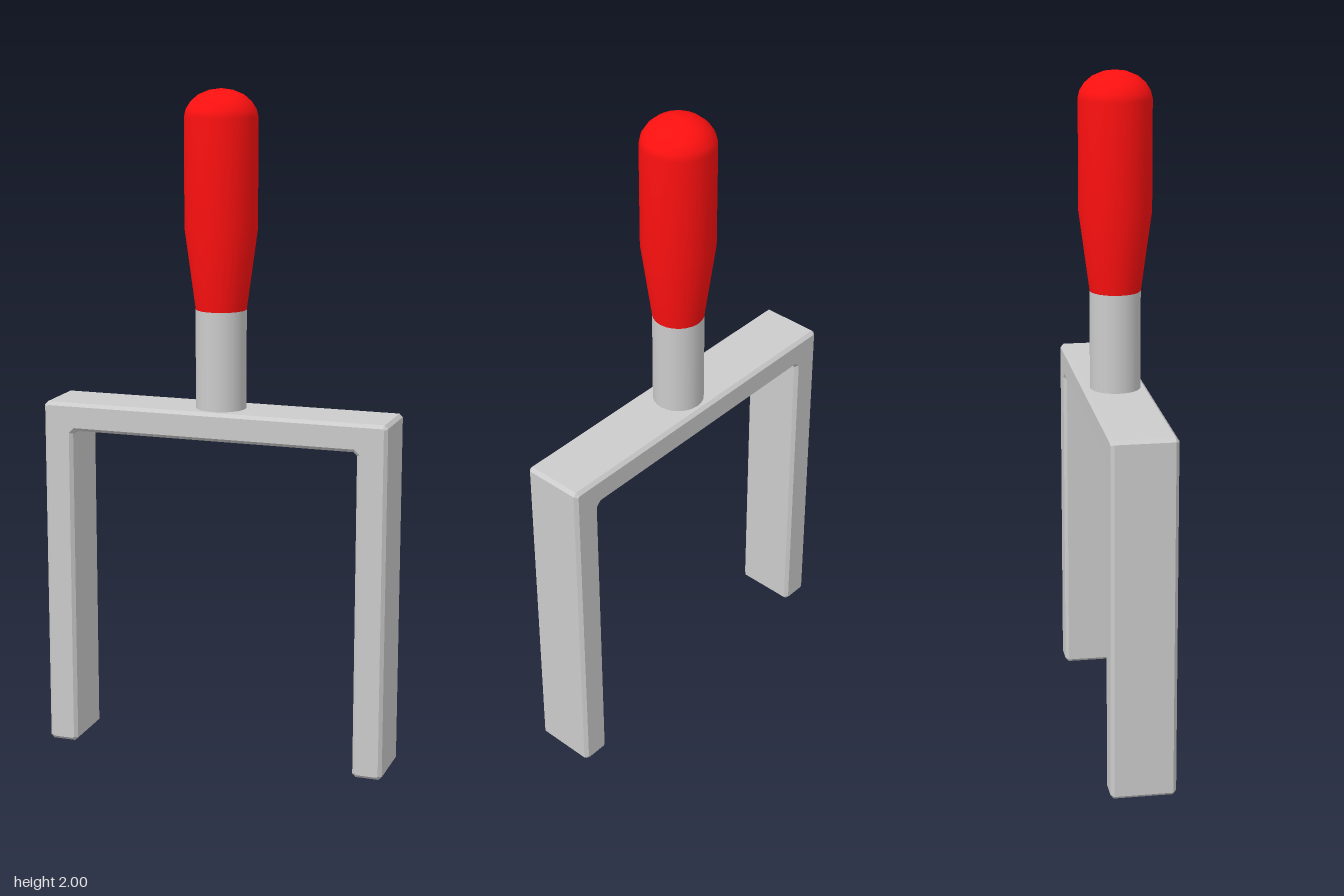
import * as THREE from 'three';

const grey = new THREE.MeshStandardMaterial({ color: 0xcccccc });
const red = new THREE.MeshStandardMaterial({ color: 0xff1010 });

// U-shaped bracket, open at the bottom, with every edge chamfered
function makeBracket() {
  const outer = 0.53, inner = 0.44, top = 1.07, under = 0.985, depth = 0.19, c = 0.01;
  const half = [
    [0, under], [inner - c, under], [inner, under - c], [inner, c], [inner + c, 0],
    [outer - c, 0], [outer, c], [outer, top - c], [outer - c, top],
  ];
  const mirrored = half.slice(1).reverse().map(([x, y]) => [-x, y]);
  const shape = new THREE.Shape([...half, ...mirrored].map(([x, y]) => new THREE.Vector2(x, y)));
  const geometry = new THREE.ExtrudeGeometry(shape, {
    depth: depth - 2 * c, bevelEnabled: true, bevelSegments: 1,
    bevelSize: c, bevelThickness: c, bevelOffset: -c,
  });
  geometry.translate(0, 0, c - depth / 2);
  return new THREE.Mesh(geometry, grey);
}

export function createModel() {
  const model = new THREE.Group();
  const add = (name, mesh) => { mesh.name = name; model.add(mesh); return mesh; };

  add('bracket', makeBracket());

  // Round stem between the bracket and the grip
  const stem = add('stem', new THREE.Mesh(new THREE.CylinderGeometry(0.075, 0.075, 0.31, 24), grey));
  stem.position.y = 1.215;

  // Tapered grip with a domed end
  const profile = [
    [0, 1.363], [0.075, 1.363], [0.075, 1.363], [0.107, 1.6], [0.107, 1.92],
    [0.102, 1.941], [0.088, 1.963], [0.066, 1.982], [0.035, 1.995], [0, 2],
  ].map(([r, y]) => new THREE.Vector2(r, y));
  add('grip', new THREE.Mesh(new THREE.LatheGeometry(profile, 24), red));

  return model;
}
